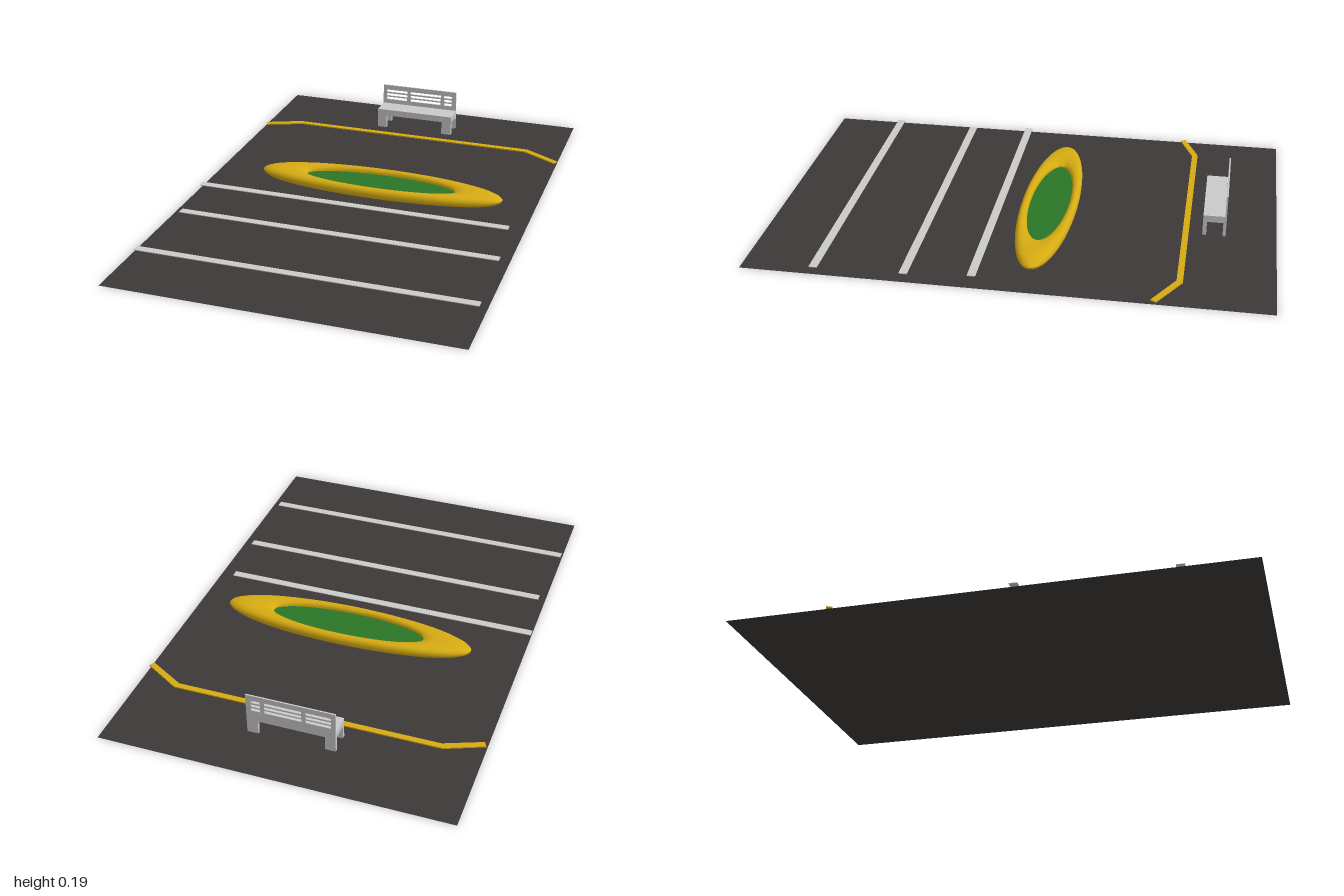
import * as THREE from 'three';
import { toCreasedNormals } from 'three/addons/utils/BufferGeometryUtils.js';

export function createModel() {
  const root = new THREE.Group();
  const mat = (name, color, side = THREE.FrontSide) => {
    const m = new THREE.MeshStandardMaterial({ color, side });
    m.name = name;
    return m;
  };
  const asphalt = mat('asphalt', 0x3d3838, THREE.DoubleSide);
  const yellow = mat('yellow paint', 0xd6ab12);
  const green = mat('grass green', 0x2a7526);
  const white = mat('line white', 0xcacac8);
  const grey = mat('bench grey', 0xc9c9c9);

  const add = (parent, name, geometry, material) => {
    const mesh = new THREE.Mesh(geometry, material);
    mesh.name = name;
    parent.add(mesh);
    return mesh;
  };
  // Box given by its limits on each axis
  const box = (parent, name, material, [x0, x1], [y0, y1], [z0, z1]) =>
    add(parent, name, new THREE.BoxGeometry(x1 - x0, y1 - y0, z1 - z0), material)
      .position.set((x0 + x1) / 2, (y0 + y1) / 2, (z0 + z1) / 2);

  // Road surface
  add(root, 'road', new THREE.PlaneGeometry(1.37, 2).rotateX(-Math.PI / 2), asphalt).position.x = -0.005;

  // White cross lines: left end, right end, z, top
  for (const [x0, x1, z, top] of [
    [-0.69, 0.62, 0.12, 0.016], [-0.663, 0.642, 0.375, 0.014], [-0.685, 0.652, 0.72, 0.014],
  ]) box(root, 'whiteLine', white, [x0, x1], [top - 0.003, top], [z - 0.016, z + 0.016]);

  // Yellow line with angled ends
  const strip = new THREE.Shape([
    [-0.687, -0.597], [-0.538, -0.658], [0.533, -0.658], [0.682, -0.57],
    [0.671, -0.549], [0.524, -0.634], [-0.53, -0.634], [-0.676, -0.576],
  ].map(([x, z]) => new THREE.Vector2(x, z)));
  add(root, 'yellowLine', new THREE.ExtrudeGeometry(strip, { depth: 0.005, bevelEnabled: false })
    .rotateX(Math.PI / 2), yellow).position.y = 0.014;

  // Traffic island: curb section blended from inner to outer ellipse
  const island = new THREE.Group();
  island.name = 'trafficIsland';
  island.position.set(0.028, 0, -0.087);
  root.add(island);
  const inner = [0.322, 0.08], outer = [0.52, 0.114];
  const section = [
    [0, 0.007], [0, 0.034], [0.06, 0.042], [0.2, 0.047], [0.5, 0.049], [0.7, 0.047],
    [0.86, 0.042], [0.96, 0.035], [1, 0.027], [0.98, 0.017], [0.9, 0.009], [0.75, 0.006],
  ];
  const sides = 64, n = section.length, pos = [], index = [];
  for (let j = 0; j < sides; j++) {
    const a = (j / sides) * Math.PI * 2;
    section.forEach(([t, y], i) => {
      pos.push(
        Math.cos(a) * (inner[0] + (outer[0] - inner[0]) * t), y,
        Math.sin(a) * (inner[1] + (outer[1] - inner[1]) * t));
      const j2 = (j + 1) % sides, i2 = (i + 1) % n;
      const p = j * n + i, q = j2 * n + i, r = j * n + i2, s = j2 * n + i2;
      index.push(p, q, r, q, s, r);
    });
  }
  const curb = new THREE.BufferGeometry();
  curb.setAttribute('position', new THREE.Float32BufferAttribute(pos, 3));
  curb.setIndex(index);
  add(island, 'curb', toCreasedNormals(curb, 0.8), yellow);
  const grass = add(island, 'grass', new THREE.CircleGeometry(1, sides).rotateX(-Math.PI / 2), green);
  grass.scale.set(inner[0] + 0.01, 1, inner[1] + 0.002);
  grass.position.y = 0.028;

  // Bench seat and legs
  const bench = new THREE.Group();
  bench.name = 'bench';
  root.add(bench);
  box(bench, 'seat', grey, [-0.18, 0.166], [0.072, 0.1], [-0.796, -0.711]);
  for (const x of [[-0.18, -0.139], [0.122, 0.166]]) {
    box(bench, 'frontLeg', grey, x, [0.014, 0.072], [-0.726, -0.711]);
    box(bench, 'backLeg', grey, x, [0.014, 0.072], [-0.802, -0.79]);
  }

  // Backrest panel with three rows of slots
  const rect = (P, x0, x1, y0, y1) => {
    const p = new P();
    p.moveTo(x0, y0).lineTo(x1, y0).lineTo(x1, y1).lineTo(x0, y1).closePath();
    return p;
  };
  const back = rect(THREE.Shape, -0.18, 0.166, 0.072, 0.188);
  for (const [x0, x1] of [[-0.164, -0.066], [-0.05, 0.094], [0.11, 0.146]])
    for (const [y0, y1] of [[0.119, 0.131], [0.137, 0.148], [0.155, 0.166]])
      back.holes.push(rect(THREE.Path, x0, x1, y0, y1));
  add(bench, 'backrest', new THREE.ExtrudeGeometry(back, { depth: 0.006, bevelEnabled: false }), grey)
    .position.z = -0.802;

  return root;
}
